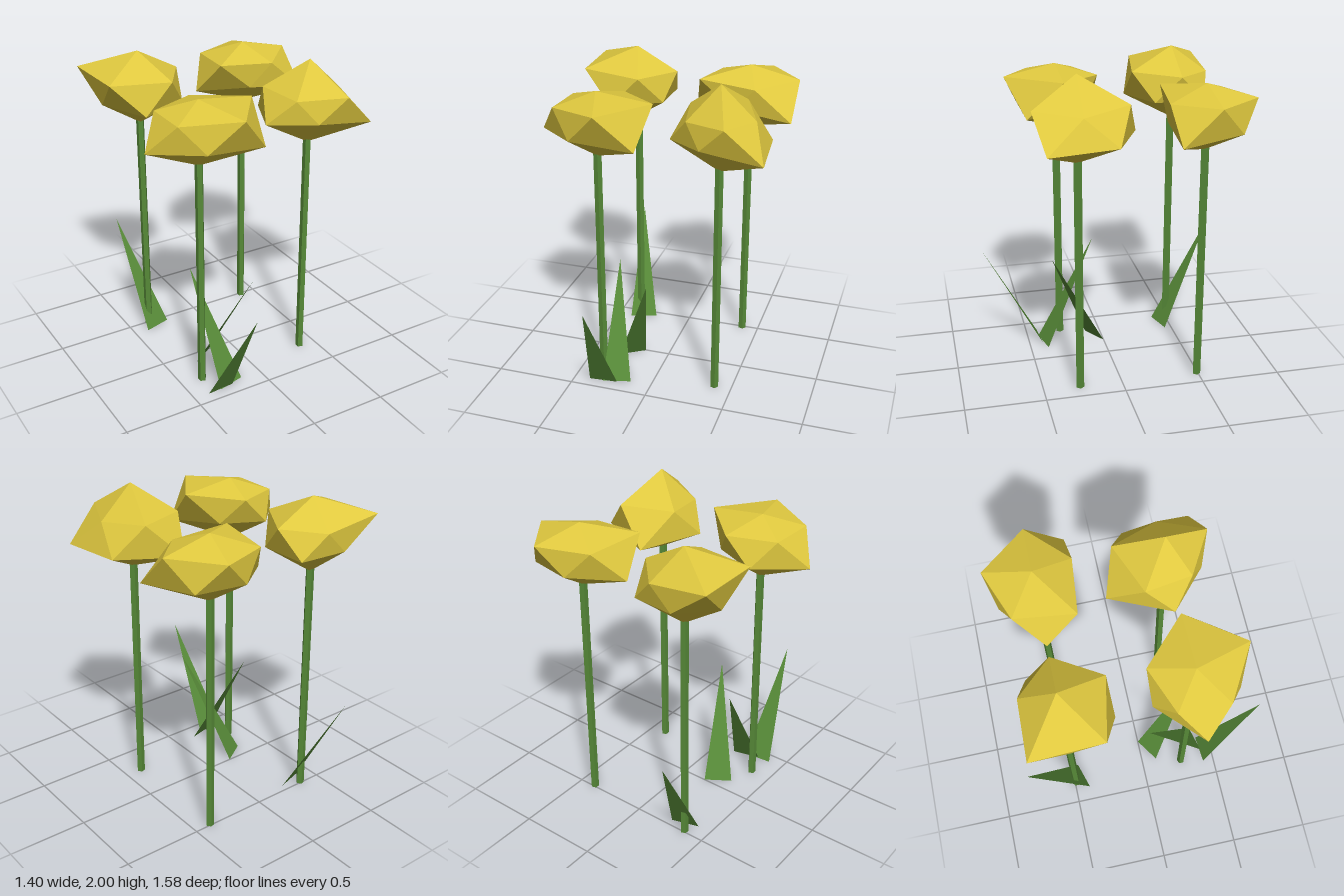
import * as THREE from 'three';

const petal = new THREE.MeshStandardMaterial({ color: 0xe0c93f, flatShading: true });
petal.name = 'petalYellow';
const green = new THREE.MeshStandardMaterial({ color: 0x578a38, flatShading: true, side: THREE.DoubleSide });
green.name = 'leafGreen';

function trianglesGeometry(points) {
  const g = new THREE.BufferGeometry().setFromPoints(points);
  g.computeVertexNormals();
  return g;
}

function addMesh(parent, name, geometry, material) {
  const m = new THREE.Mesh(geometry, material);
  m.name = name;
  parent.add(m);
  return m;
}

// Uneven icosahedron: two poles and two rings of five corners with varied radii
const MID = 1.737, SLOPE = 0.31;
function headGeometry({ top, bottom, upper, lower }) {
  const ring = (radii, turn, sign) => radii.map((r, k) => {
    const a = (k + turn) * Math.PI * 0.4;
    return new THREE.Vector3(r * Math.cos(a), MID + sign * SLOPE * r, r * Math.sin(a));
  });
  const u = ring(upper, 0, 1), l = ring(lower, 0.5, -1);
  const t = new THREE.Vector3(0, top, 0), b = new THREE.Vector3(0, bottom, 0);
  const tris = [];
  for (let k = 0; k < 5; k++) {
    const n = (k + 1) % 5;
    tris.push(t, u[n], u[k], u[k], u[n], l[k], l[k], u[n], l[n], b, l[k], l[n]);
  }
  return trianglesGeometry(tris);
}

const flowers = [
  { name: 'frontRightFlower', x: -0.36, z: 0.27, top: 1.89, bottom: 1.49,
    upper: [0.35, 0.35, 0.26, 0.25, 0.27], lower: [0.38, 0.26, 0.34, 0.27, 0.24] },
  { name: 'backRightFlower', x: -0.36, z: -0.49, top: 1.965, bottom: 1.5,
    upper: [0.265, 0.295, 0.355, 0.38, 0.225], lower: [0.27, 0.305, 0.25, 0.22, 0.27] },
  { name: 'frontLeftFlower', x: 0.39, z: 0.27, top: 2, bottom: 1.48,
    upper: [0.21, 0.285, 0.21, 0.275, 0.305], lower: [0.375, 0.22, 0.3, 0.39, 0.33] },
  { name: 'backLeftFlower', x: 0.39, z: -0.49, top: 1.905, bottom: 1.51,
    upper: [0.31, 0.25, 0.345, 0.275, 0.295], lower: [0.38, 0.22, 0.345, 0.24, 0.27] },
];

// Leaves: middle of the base and tip on the ground plan
const leaves = [
  { base: [-0.31, 0.42], tip: [-0.28, 0.79] },
  { base: [-0.235, 0.05], tip: [-0.03, 0.365] },
  { base: [-0.225, 0.405], tip: [-0.315, 0.045] },
  { base: [-0.322, -0.43], tip: [-0.43, -0.79] },
];

// Flat triangular blade, its base square to the direction it leans
function leafGeometry({ base, tip }) {
  const dx = tip[0] - base[0], dz = tip[1] - base[1];
  const s = 0.09 / Math.hypot(dx, dz);
  return trianglesGeometry([
    new THREE.Vector3(base[0] + dz * s, 0, base[1] - dx * s),
    new THREE.Vector3(base[0] - dz * s, 0, base[1] + dx * s),
    new THREE.Vector3(tip[0], 0.695, tip[1]),
  ]);
}

export function createModel() {
  const model = new THREE.Group();
  model.name = 'flowerPatch';

  for (const f of flowers) {
    const flower = new THREE.Group();
    flower.name = f.name;
    flower.position.set(f.x, 0, f.z);
    const stemTop = f.bottom + 0.04;
    const stem = addMesh(flower, 'stem', new THREE.CylinderGeometry(0.026, 0.026, stemTop, 5), green);
    stem.position.y = stemTop / 2;
    stem.rotation.y = Math.PI / 2;
    addMesh(flower, 'flowerHead', headGeometry(f), petal);
    model.add(flower);
  }

  for (const leaf of leaves) addMesh(model, 'leaf', leafGeometry(leaf), green);

  return model;
}
